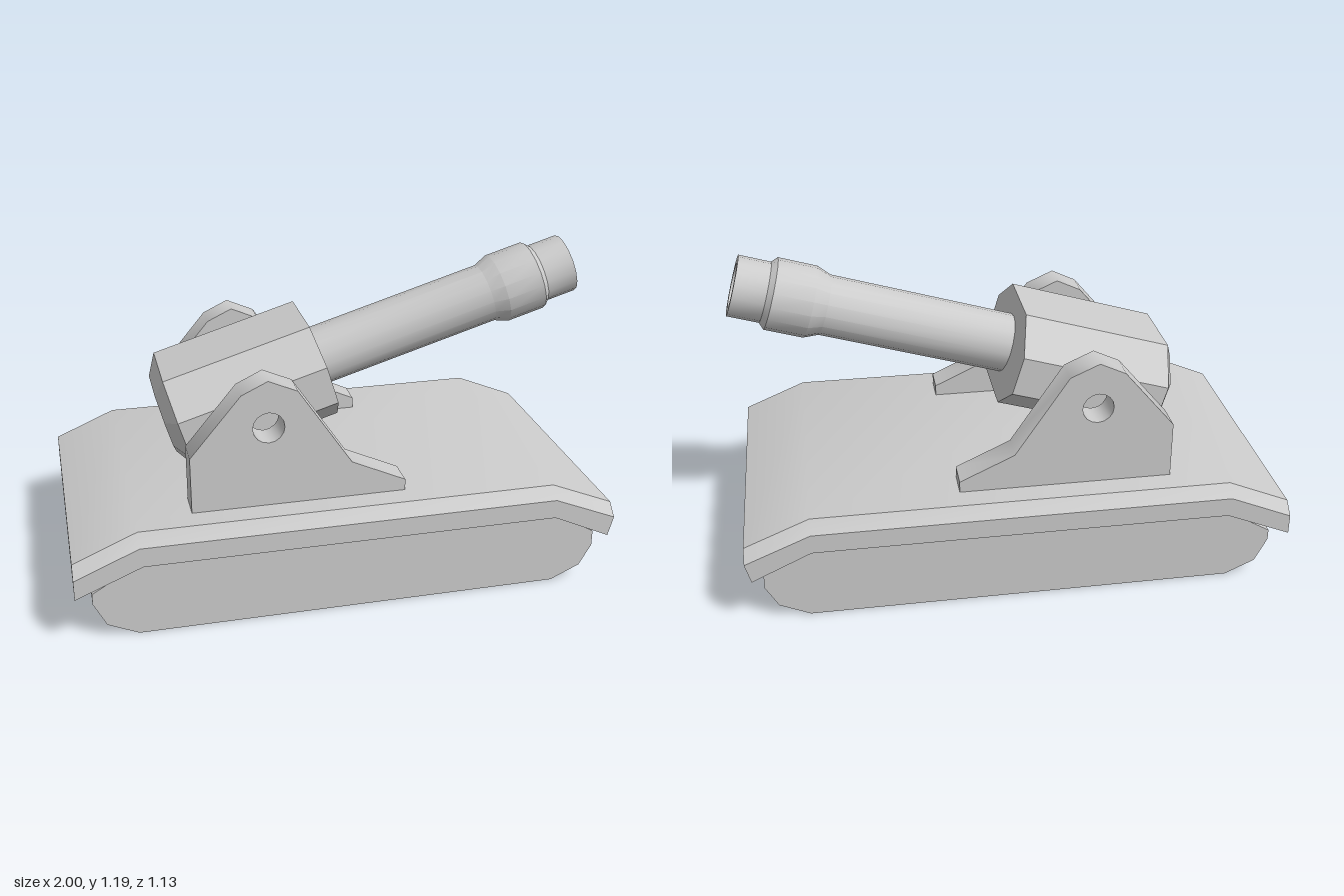
import * as THREE from 'three';
import { toCreasedNormals } from 'three/addons/utils/BufferGeometryUtils.js';

const material = new THREE.MeshStandardMaterial({ color: 0xcccccc });

function part(name, geometry, crease) {
  const mesh = new THREE.Mesh(toCreasedNormals(geometry, crease), material);
  mesh.name = name;
  return mesh;
}

const shapeOf = (points) => new THREE.Shape(points.map(([x, y]) => new THREE.Vector2(x, y)));

// Skin over equal-sized rings of points; each end is closed by quads across the ring
function loft(rings) {
  const n = rings[0].length;
  const last = rings.length - 1;
  const index = [];
  const quad = (a, b, c, d) => index.push(a, b, c, a, c, d);
  for (let j = 0; j < last; j++) {
    for (let i = 0; i < n; i++) {
      const k = (i + 1) % n;
      quad(j * n + i, j * n + k, (j + 1) * n + k, (j + 1) * n + i);
    }
  }
  for (let i = 0; i < n / 2 - 1; i++) {
    const e = last * n;
    quad(n - 1 - i, n - 2 - i, i + 1, i);
    quad(e + i, e + i + 1, e + n - 2 - i, e + n - 1 - i);
  }
  const geometry = new THREE.BufferGeometry();
  geometry.setAttribute('position', new THREE.Float32BufferAttribute(rings.flat(2), 3));
  geometry.setIndex(index);
  return geometry;
}

// Lower body with rounded lower ends
function makeHull() {
  const shape = shapeOf([
    [-0.785, 0], [0.77, 0], [0.88, 0.05], [0.925, 0.13], [0.925, 0.19],
    [0.75, 0.285], [-0.76, 0.285], [-0.94, 0.18], [-0.94, 0.14], [-0.895, 0.05],
  ]);
  const geometry = new THREE.ExtrudeGeometry(shape, { depth: 1.05, bevelEnabled: false });
  geometry.translate(0, 0, -0.525);
  return part('hull', geometry, 0.75);
}

// Deck plate with drooping ends and chamfered long edges
function makeDeck() {
  const under = [[-1, 0.19], [-0.76, 0.29], [0.75, 0.29], [0.965, 0.19]];
  const upper = [[0.985, 0.307], [0.75, 0.405], [-0.77, 0.405], [-1, 0.307]];
  const ring = (z, drop) => [
    ...under.map(([x, y]) => [x, y, z]),
    ...upper.map(([x, y]) => [x, y - drop, z]),
  ];
  const rings = [ring(-0.567, 0.043), ring(-0.525, 0), ring(0.525, 0), ring(0.567, 0.043)];
  return part('deck', loft(rings), 0.5);
}

// Upright side plate with a pivot hole
function makeBracket(name, z) {
  const shape = shapeOf([
    [-0.57, 0.4], [0.21, 0.4], [0.21, 0.447], [0.01, 0.54], [-0.185, 0.833],
    [-0.29, 0.88], [-0.385, 0.835], [-0.57, 0.615],
  ]);
  shape.holes.push(new THREE.Path().absarc(-0.29, 0.705, 0.057, 0, Math.PI * 2, true));
  const geometry = new THREE.ExtrudeGeometry(shape, {
    depth: 0.11, bevelEnabled: false, curveSegments: 8,
  });
  geometry.translate(0, 0, z - 0.055);
  return part(name, geometry, 0.87);
}

// Wide octagonal breech, tapered at the back
function makeBreech() {
  const octagon = [
    [0.183, -0.147], [0.183, 0.147], [0.073, 0.29], [-0.073, 0.29],
    [-0.183, 0.147], [-0.183, -0.147], [-0.073, -0.29], [0.073, -0.29],
  ];
  const ring = (x, s) => octagon.map(([y, z]) => [x, y * s, z * s]);
  return part('breech', loft([ring(-0.612, 0.66), ring(-0.565, 1), ring(0, 1)]), 0.1);
}

// Hollow barrel with a raised band near the muzzle
function makeBarrel() {
  const profile = [
    [0.112, -0.02], [0.112, 0.697], [0.133, 0.75], [0.133, 0.895],
    [0.112, 0.915], [0.112, 1.033], [0.083, 1.033], [0.083, 0.1], [0, 0.1],
  ].map(([r, y]) => new THREE.Vector2(r, y));
  const geometry = new THREE.LatheGeometry(profile, 16);
  geometry.rotateZ(-Math.PI / 2);
  return part('barrel', geometry, 0.5);
}

export function createModel() {
  const model = new THREE.Group();
  model.name = 'cannonVehicle';
  model.add(makeHull(), makeDeck());
  model.add(makeBracket('leftBracket', 0.38), makeBracket('rightBracket', -0.38));

  // Gun raised about the centre of the breech's front face
  const gun = new THREE.Group();
  gun.name = 'gun';
  gun.add(makeBreech(), makeBarrel());
  gun.position.set(-0.026, 0.78, 0);
  gun.rotation.z = THREE.MathUtils.degToRad(16.8);
  model.add(gun);
  return model;
}
